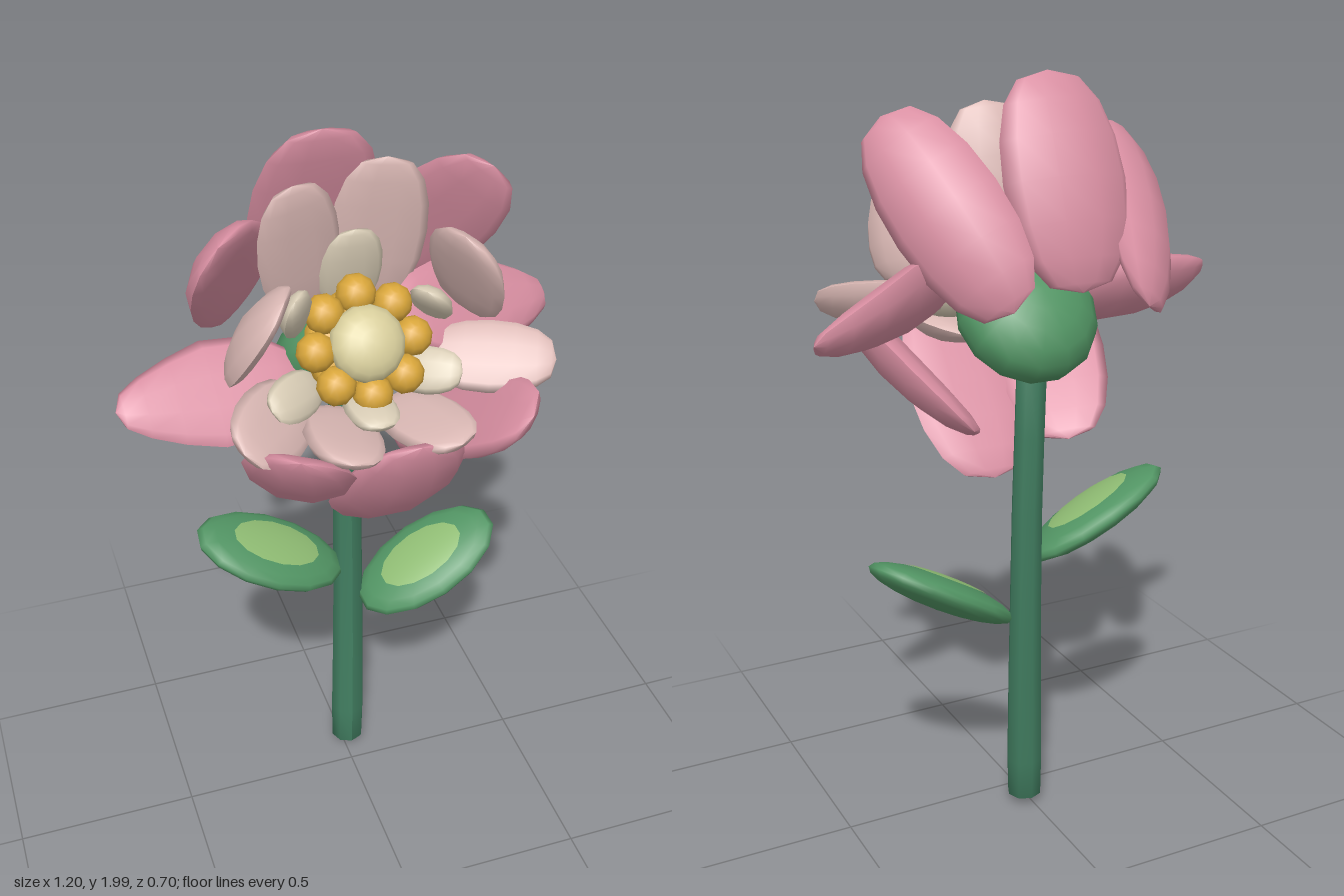
import * as THREE from 'three';

const mat = (name, color) => {
  const m = new THREE.MeshStandardMaterial({ color });
  m.name = name;
  return m;
};
const V = (a) => new THREE.Vector3(...a);

export function createModel() {
  const pink = mat('petal pink', 0xd98fa2);
  const pale = mat('pale pink', 0xdbb9b5);
  const cream = mat('cream', 0xd9cdb6);
  const butter = mat('butter yellow', 0xd8ce9c);
  const gold = mat('gold', 0xd9a63a);
  const leafGreen = mat('leaf green', 0x529564);
  const stemGreen = mat('stem green', 0x417d60);
  const lightGreen = mat('light green', 0x90bd74);

  const flower = new THREE.Group();
  flower.name = 'flower';
  const add = (parent, name, geometry, material) => {
    const mesh = new THREE.Mesh(geometry, material);
    mesh.name = name;
    parent.add(mesh);
    return mesh;
  };

  // Frame with y running from base to tip and z along the inner face
  const frame = (base, tip, normal) => {
    const b = V(base), t = V(tip);
    const l = t.clone().sub(b), length = l.length();
    l.normalize();
    const n = V(normal);
    n.addScaledVector(l, -n.dot(l)).normalize();
    const w = l.clone().cross(n);
    const matrix = new THREE.Matrix4().makeBasis(w, l, n).setPosition(b.add(t).multiplyScalar(0.5));
    return { matrix, length };
  };

  // Plump, slightly cupped petal with a blunt outline, or a pointed tip when taper is given
  const petal = (parent, name, material, thick, cup, [base, tip, width, normal, taper = 0]) => {
    const { matrix, length } = frame(base, tip, normal);
    const g = new THREE.SphereGeometry(1, 10, 8);
    const p = g.attributes.position;
    for (let i = 0; i < p.count; i++) {
      const y = p.getY(i), z = p.getZ(i);
      const ring = Math.sqrt(Math.max(1e-6, 1 - y * y));
      const x = p.getX(i) * Math.pow(ring, -0.3) * (1 - taper * Math.max(0, y));
      p.setXYZ(i, x * width / 2, y * length / 2, z * thick / 2 + cup * (x * x + y * y - 0.6));
    }
    g.computeVertexNormals();
    g.applyMatrix4(matrix);
    add(parent, name, g, material);
  };
  const whorl = (name, material, thick, cup, rows) => {
    const group = new THREE.Group();
    group.name = name + 's';
    rows.forEach((r) => petal(group, name, material, thick, cup, r));
    flower.add(group);
  };

  // Each row: base, tip, width, inner-face direction, taper
  whorl('outerPetal', pink, 0.1, 0.025, [
    [[-0.035, 1.5, -0.3], [-0.035, 2.0, -0.11], 0.33, [0, -0.3, 1]],
    [[0.17, 1.48, -0.33], [0.355, 1.9, 0.0], 0.28, [-0.6, -0.45, 0.6]],
    [[-0.2, 1.46, -0.34], [-0.34, 1.83, 0.06], 0.28, [0.6, -0.45, 0.6]],
    [[0.12, 1.53, 0.0], [0.6, 1.41, -0.19], 0.27, [0.37, 0.65, 0.65], 0.4],
    [[-0.12, 1.4, -0.01], [-0.6, 1.43, 0.05], 0.27, [0.0, 0.72, 0.68], 0.4],
    [[-0.13, 1.04, -0.06], [-0.235, 1.39, 0.34], 0.29, [0.3, 0.7, -0.45]],
    [[0.06, 0.945, 0.0], [0.07, 1.36, 0.33], 0.33, [0, 0.6, -0.8]],
    [[0.19, 1.13, -0.14], [0.35, 1.4, 0.34], 0.26, [-0.6, 0.65, -0.05]],
  ]);
  whorl('innerPetal', pale, 0.075, 0.015, [
    [[-0.08, 1.52, -0.13], [-0.13, 1.9, -0.04], 0.22, [0.2, -0.3, 1]],
    [[0.09, 1.52, -0.13], [0.11, 1.93, -0.06], 0.24, [-0.2, -0.3, 1]],
    [[-0.3, 1.45, -0.03], [-0.21, 1.71, 0.14], 0.22, [0.8, -0.1, 0.5]],
    [[0.32, 1.51, -0.03], [0.25, 1.78, 0.1], 0.23, [-0.8, -0.1, 0.5]],
    [[0.18, 1.43, 0.03], [0.48, 1.43, 0.16], 0.19, [-0.1, 0.75, 0.65]],
    [[-0.15, 1.38, 0.04], [-0.35, 1.4, 0.27], 0.2, [0.3, 0.7, 0.6]],
    [[-0.06, 1.32, 0.04], [-0.11, 1.36, 0.34], 0.2, [0.2, 1, 0]],
    [[0.09, 1.32, 0.04], [0.165, 1.36, 0.34], 0.19, [-0.2, 1, 0]],
  ]);
  whorl('creamPetal', cream, 0.06, 0.005, [
    [[0.02, 1.52, -0.1], [0.02, 1.77, -0.03], 0.16, [0, -0.2, 1]],
    [[-0.13, 1.54, -0.02], [-0.17, 1.68, 0.1], 0.11, [0.6, -0.1, 0.75]],
    [[0.21, 1.54, 0.02], [0.15, 1.66, 0.12], 0.11, [-0.65, -0.1, 0.7]],
    [[-0.1, 1.41, 0.04], [-0.25, 1.43, 0.16], 0.12, [0.3, 0.65, 0.7]],
    [[0.1, 1.41, 0.04], [0.24, 1.43, 0.14], 0.12, [-0.3, 0.65, 0.7]],
    [[0, 1.38, 0.06], [0, 1.38, 0.24], 0.13, [0, 1, 0]],
  ]);

  // Flower heart, its local y facing forward and up
  const heart = new THREE.Group();
  heart.name = 'flowerHeart';
  heart.position.set(0.01, 1.515, 0.07);
  heart.quaternion.setFromUnitVectors(V([0, 1, 0]), V([0, 0.54, 0.84]).normalize());
  flower.add(heart);
  const bed = add(heart, 'heartBed', new THREE.SphereGeometry(1, 14, 8), gold);
  bed.scale.set(0.14, 0.06, 0.14);
  bed.position.y = -0.05;
  const disc = add(heart, 'heartDisc', new THREE.SphereGeometry(1, 14, 10), butter);
  disc.scale.set(0.095, 0.06, 0.095);
  disc.position.y = 0.025;
  for (let i = 0; i < 8; i++) {
    const a = i * Math.PI / 4;
    const s = add(heart, 'stamen', new THREE.SphereGeometry(0.05, 10, 8), gold);
    s.position.set(0.122 * Math.sin(a), 0, 0.122 * Math.cos(a));
  }

  // Calyx cushion behind the petals, slanting up towards the front
  const calyx = add(flower, 'calyx', new THREE.SphereGeometry(1, 14, 10), leafGreen);
  calyx.scale.set(0.185, 0.12, 0.19);
  calyx.position.set(0.01, 1.405, -0.085);
  calyx.rotation.x = -Math.PI / 4;

  // Gently bowed stem with a blunt pointed foot
  const path = new THREE.CatmullRomCurve3([
    V([0.013, 0, -0.085]), V([0.026, 0.45, -0.112]), V([0.03, 0.75, -0.128]), V([0.015, 1.3, -0.125]),
  ]);
  const profile = [[0, 0.008], [0.047, 0.035], [0.049, 0.15], [0.046, 0.4], [0.043, 0.65], [0.041, 0.9], [0.04, 1.1], [0.04, 1.3], [0, 1.3]];
  const stem = new THREE.LatheGeometry(profile.map(([r, y]) => new THREE.Vector2(r, y)), 8);
  const sp = stem.attributes.position;
  for (let i = 0; i < sp.count; i++) {
    const c = path.getPoint(Math.min(1, sp.getY(i) / 1.3));
    sp.setX(i, sp.getX(i) + c.x);
    sp.setZ(i, sp.getZ(i) + c.z);
  }
  stem.computeVertexNormals();
  add(flower, 'stem', stem, stemGreen);

  // Leaves with a light patch on the upper face
  const leaf = (name, base, tip, normal) => {
    const group = new THREE.Group();
    group.name = name;
    const { matrix, length } = frame(base, tip, normal);
    const shape = (g, k) => g.rotateX(Math.PI / 2).scale(0.13, length / 2, 0.045 * k).applyMatrix4(matrix);
    add(group, 'leafBlade', shape(new THREE.SphereGeometry(1, 14, 10), 1), leafGreen);
    const patch = new THREE.SphereGeometry(1, 14, 4, 0, Math.PI * 2, 0, 0.62);
    add(group, 'leafPatch', shape(patch, 1.06), lightGreen);
    flower.add(group);
  };
  leaf('rightLeaf', [-0.01, 0.725, -0.065], [-0.41, 0.925, -0.06], [0.4, 0.85, 0.22]);
  leaf('leftLeaf', [0.05, 0.565, -0.065], [0.435, 0.79, -0.06], [-0.4, 0.85, 0.22]);

  return flower;
}
